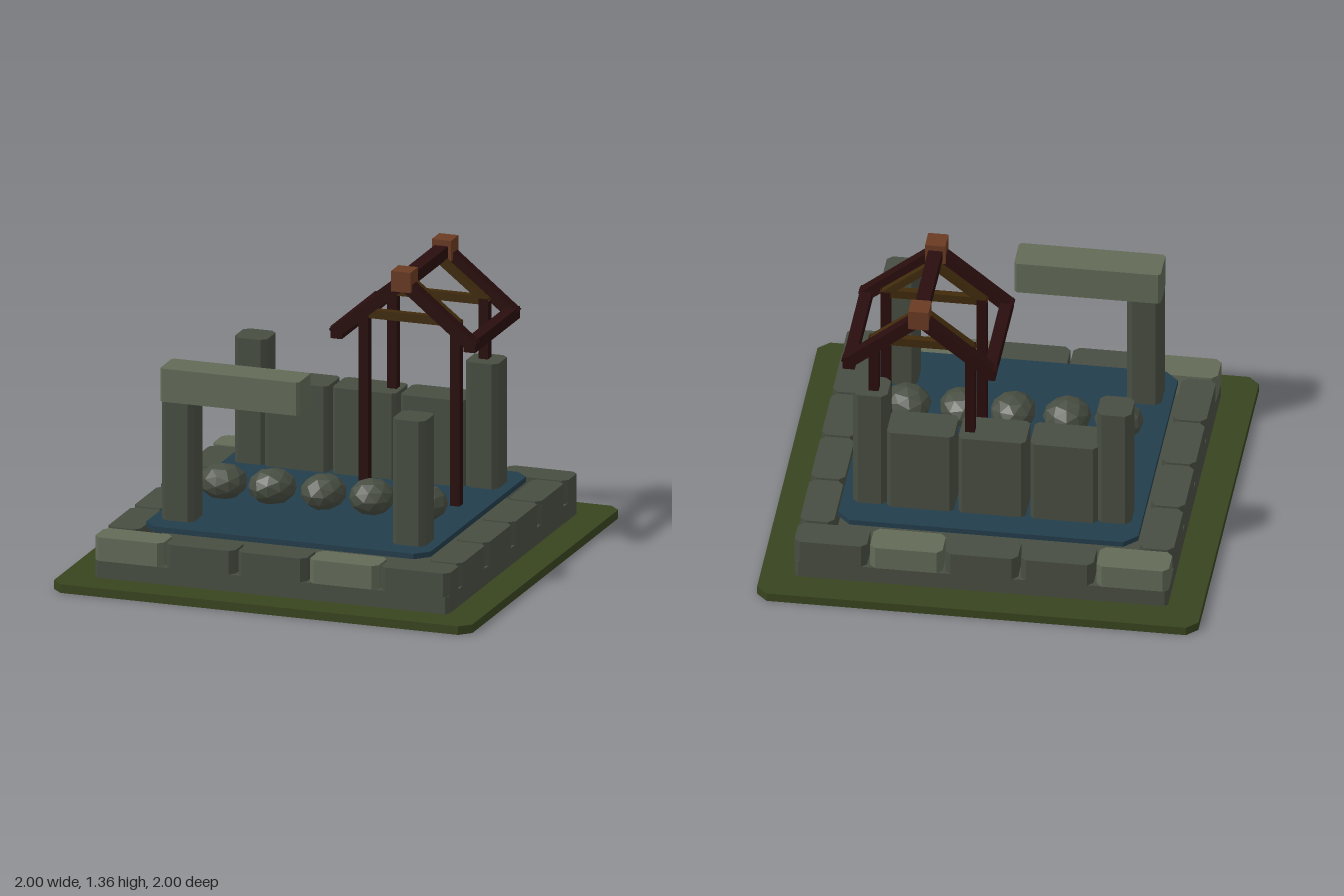
import * as THREE from 'three';

const mat = (name, color, flat = true) => {
  const m = new THREE.MeshStandardMaterial({ color, flatShading: flat });
  m.name = name;
  return m;
};

export function createModel() {
  const grass = mat('grass', 0x38441f);
  const water = mat('water', 0x233d4b);
  const stone = mat('stone', 0x474d41);
  const paleStone = mat('pale stone', 0x626a57);
  const darkWood = mat('dark wood', 0x290d0d);
  const wood = mat('brown wood', 0x402a0c);
  const capWood = mat('cap wood', 0x693a22);

  const model = new THREE.Group();
  model.name = 'ruinedWellPond';

  const add = (parent, name, geo, material) => {
    const mesh = new THREE.Mesh(geo, material);
    mesh.name = name;
    parent.add(mesh);
    return mesh;
  };
  const group = (name) => {
    const g = new THREE.Group();
    g.name = name;
    model.add(g);
    return g;
  };

  // Upright block with cut vertical corners, given by its bounds
  const block = (parent, name, material, x0, x1, y0, y1, z0, z1, c) => {
    const pts = [
      [x0 + c, z0], [x1 - c, z0], [x1, z0 + c], [x1, z1 - c],
      [x1 - c, z1], [x0 + c, z1], [x0, z1 - c], [x0, z0 + c],
    ].map(([x, z]) => new THREE.Vector2(x, -z));
    const geo = new THREE.ExtrudeGeometry(new THREE.Shape(pts), { depth: y1 - y0, bevelEnabled: false });
    geo.rotateX(-Math.PI / 2).translate(0, y0, 0);
    return add(parent, name, geo, material);
  };

  // Square beam in the xy plane or along z
  const beam = (parent, name, material, a, b, w, d = w) => {
    const start = new THREE.Vector3(...a), end = new THREE.Vector3(...b);
    const dir = end.clone().sub(start);
    const mesh = add(parent, name, new THREE.BoxGeometry(w, dir.length(), d), material);
    mesh.position.copy(start).add(end).multiplyScalar(0.5);
    mesh.quaternion.setFromUnitVectors(new THREE.Vector3(0, 1, 0), dir.normalize());
    return mesh;
  };

  // Ground and plinth
  block(model, 'ground', grass, -1, 1, 0, 0.04, -1, 1, 0.05);
  block(model, 'plinth', stone, -0.845, 0.845, 0.04, 0.12, -0.845, 0.845, 0.015);

  // Rim stones: five on front and back, four on each side
  const rim = group('rim');
  for (const s of [-1, 1]) {
    for (let i = 0; i < 5; i++) {
      const x = (i - 2) * 0.342, z = s * 0.77;
      block(rim, 'rimStone', i % 3 === 0 ? paleStone : stone,
        x - 0.164, x + 0.164, 0.12, 0.23, z - 0.077, z + 0.077, 0.025);
    }
    for (let i = 0; i < 4; i++) {
      const z = (i - 1.5) * 0.342, x = s * 0.77;
      block(rim, 'rimStone', stone, x - 0.077, x + 0.077, 0.12, 0.23, z - 0.164, z + 0.164, 0.025);
    }
  }

  // Pool surface
  block(model, 'pool', water, -0.68, 0.68, 0.23, 0.255, -0.68, 0.68, 0.06);

  // Corner pillars and the broken lintel
  const ruins = group('ruins');
  for (const x of [-0.555, 0.55])
    for (const z of [-0.46, 0.49]) {
      const top = x < 0 && z > 0 ? 0.81 : 0.84;
      block(ruins, 'pillar', stone, x - 0.078, x + 0.078, 0.25, top, z - 0.078, z + 0.078, 0.025);
    }
  block(ruins, 'lintel', paleStone, -0.632, 0.032, 0.81, 0.965, 0.41, 0.576, 0.012);

  // Back wall panels
  for (let i = -1; i <= 1; i++) {
    const x = i * 0.325 - 0.005;
    block(ruins, 'wallPanel', stone, x - 0.152, x + 0.152, 0.25, 0.657, -0.55, -0.37, 0.018);
  }

  // Row of faceted stepping stones
  const rocks = group('steppingStones');
  [-0.48, -0.245, 0, 0.23, 0.48].forEach((x, i) => {
    const rock = add(rocks, 'steppingStone', new THREE.IcosahedronGeometry(1, 1), stone);
    rock.scale.set(0.112, 0.083, 0.104);
    rock.position.set(x, 0.336, 0.16);
    rock.rotation.y = i * 0.7;
  });

  // Timber roof frame
  const frame = group('roofFrame');
  const cx = 0.32, zFront = -0.02, zBack = -0.555;
  for (const z of [-0.102, -0.472]) {
    for (const s of [-1, 1]) {
      beam(frame, 'post', darkWood, [cx + s * 0.218, 0.25, z], [cx + s * 0.218, 1.12, z], 0.045);
      beam(frame, 'innerRafter', wood, [cx + s * 0.235, 1.1, z], [cx, 1.285, z], 0.034);
    }
    beam(frame, 'tieBeam', wood, [cx - 0.22, 1.112, z], [cx + 0.22, 1.112, z], 0.04, 0.034);
  }
  for (const z of [zFront, zBack]) {
    for (const s of [-1, 1])
      beam(frame, 'rafter', darkWood, [cx + s * 0.335, 1.03, z], [cx, 1.3, z], 0.055);
    const cap = add(frame, 'ridgeCap', new THREE.BoxGeometry(0.092, 0.095, 0.098), capWood);
    cap.position.set(cx, 1.313, z + (z === zFront ? 0 : 0.005));
  }
  for (const s of [-1, 1])
    beam(frame, 'eaveBeam', darkWood, [cx + s * 0.318, 1.036, 0.005], [cx + s * 0.318, 1.036, -0.582], 0.055);
  beam(frame, 'ridgeBeam', darkWood, [cx, 1.306, zFront], [cx, 1.306, zBack], 0.064, 0.055);

  return model;
}
